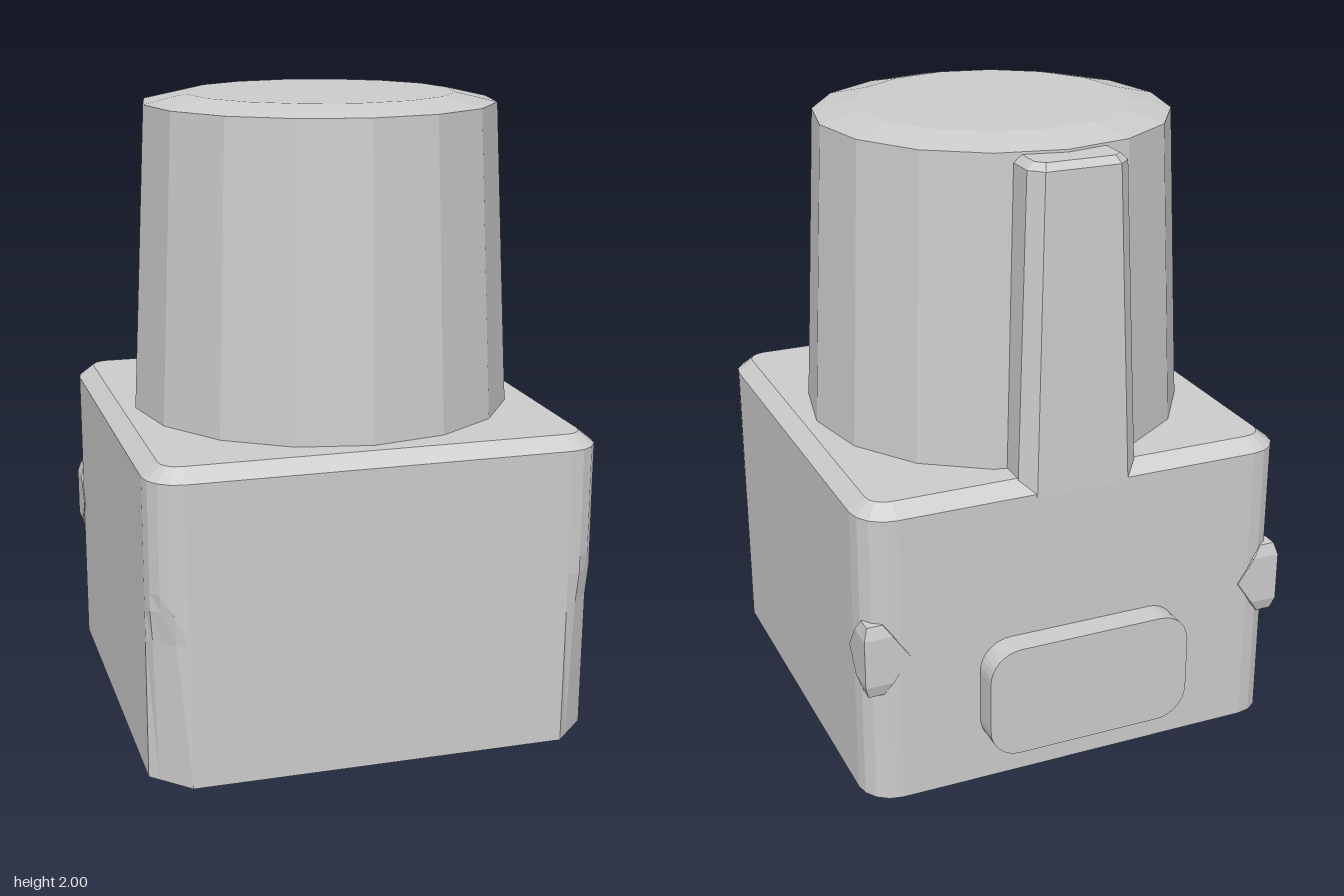
import * as THREE from 'three';

const material = new THREE.MeshStandardMaterial({ color: 0xcccccc, flatShading: true });

function addMesh(group, name, geometry) {
  const mesh = new THREE.Mesh(geometry, material);
  mesh.name = name;
  group.add(mesh);
  return mesh;
}

// Closed solid through horizontal rings of [x, y, z], each running from +x towards +z
function loft(rings) {
  const n = rings[0].length;
  const pos = [];
  const tri = (...corners) => corners.forEach((p) => pos.push(...p));
  const middle = (ring) => [0, 1, 2].map((k) => ring.reduce((s, p) => s + p[k], 0) / n);
  const first = rings[0], last = rings[rings.length - 1];
  const low = middle(first), high = middle(last);
  for (let i = 0; i < n; i++) {
    const j = (i + 1) % n;
    for (let r = 0; r + 1 < rings.length; r++) {
      const a = rings[r], b = rings[r + 1];
      tri(a[i], b[i], b[j]);
      tri(a[i], b[j], a[j]);
    }
    tri(low, first[i], first[j]);
    tri(high, last[j], last[i]);
  }
  const geometry = new THREE.BufferGeometry();
  geometry.setAttribute('position', new THREE.Float32BufferAttribute(pos, 3));
  geometry.computeVertexNormals();
  return geometry;
}

// Rounded square ring; the front corners are cut where |x| + z exceeds the limit
function bodyRing(y, half, radius, cut) {
  const ring = [], steps = 4, zMid = 0.04;
  for (let corner = 0; corner < 4; corner++) {
    const sx = corner === 0 || corner === 3 ? 1 : -1;
    const sz = corner < 2 ? 1 : -1;
    for (let s = 0; s <= steps; s++) {
      const t = (corner + s / steps) * Math.PI / 2;
      let x = sx * (half - radius) + radius * Math.cos(t);
      let z = zMid + sz * (half - radius) + radius * Math.sin(t);
      const excess = Math.abs(x) + z - cut;
      if (sz > 0 && excess > 0) {
        const alongX = Math.abs(Math.cos(t)) > 0.99, alongZ = Math.abs(Math.sin(t)) > 0.99;
        if (!alongZ) z -= alongX ? excess : excess / 2;
        if (!alongX) x -= sx * (alongZ ? excess : excess / 2);
      }
      ring.push([x, y, z]);
    }
  }
  return ring;
}

export function createModel() {
  const group = new THREE.Group();

  // Square body with tapered front corner cuts and a chamfered top
  addMesh(group, 'body', loft([
    bodyRing(0, 0.71, 0.11, 1.345),
    bodyRing(0.46, 0.71, 0.11, 1.37),
    bodyRing(0.56, 0.71, 0.11, 1.387),
    bodyRing(0.615, 0.71, 0.11, 1.41),
    bodyRing(0.96, 0.71, 0.11, 9),
    bodyRing(1, 0.66, 0.06, 9),
  ]));

  // Sixteen-sided tapered tower with a shallow bevelled cap
  const profile = [[0, 0.98], [0.617, 0.98], [0.567, 1.97], [0.434, 2], [0, 2]];
  const tower = addMesh(group, 'tower', new THREE.LatheGeometry(
    profile.map(([r, y]) => new THREE.Vector2(r, y)), 16));
  tower.position.z = 0.035;

  // Rib running up the back of the tower
  const ribRing = (y, w, back, bevel, front = -0.42) => [
    [w, y, back + bevel], [w, y, front], [-w, y, front],
    [-w, y, back + bevel], [-w + bevel, y, back], [w - bevel, y, back],
  ];
  addMesh(group, 'backRib', loft([
    ribRing(0.95, 0.197, -0.672, 0.045),
    ribRing(1.94, 0.16, -0.635, 0.04),
    ribRing(1.962, 0.135, -0.615, 0.025),
  ]));

  // Bosses that square off the rounded rear corners
  const bossLevels = [
    [-0.12, 0.05, 0.012], [-0.08, 0.09, 0], [0, 0.145, 0], [0.08, 0.09, 0], [0.12, 0.05, 0.012],
  ];
  for (const side of [1, -1]) {
    const boss = addMesh(group, side > 0 ? 'leftCornerBoss' : 'rightCornerBoss', loft(
      bossLevels.map(([dy, reach, inset]) => {
        const x = 0.713 - inset, z = -0.673 + inset, y = 0.5 + dy;
        return [[x, y, z], [x, y, z + reach], [0.5, y, -0.46], [x - reach, y, z]];
      })));
    boss.scale.x = side;
  }

  // Rounded connector plate on the back
  const w = 0.34, h = 0.185, r = 0.1;
  const plate = new THREE.Shape();
  plate.absarc(w - r, h - r, r, 0, Math.PI / 2);
  plate.absarc(-w + r, h - r, r, Math.PI / 2, Math.PI);
  plate.absarc(-w + r, -h + r, r, Math.PI, Math.PI * 1.5);
  plate.absarc(w - r, -h + r, r, Math.PI * 1.5, Math.PI * 2);
  const backPlate = addMesh(group, 'backPlate', new THREE.ExtrudeGeometry(plate, {
    depth: 0.12, bevelEnabled: false, curveSegments: 4,
  }));
  backPlate.position.set(0, 0.305, -0.755);

  return group;
}
